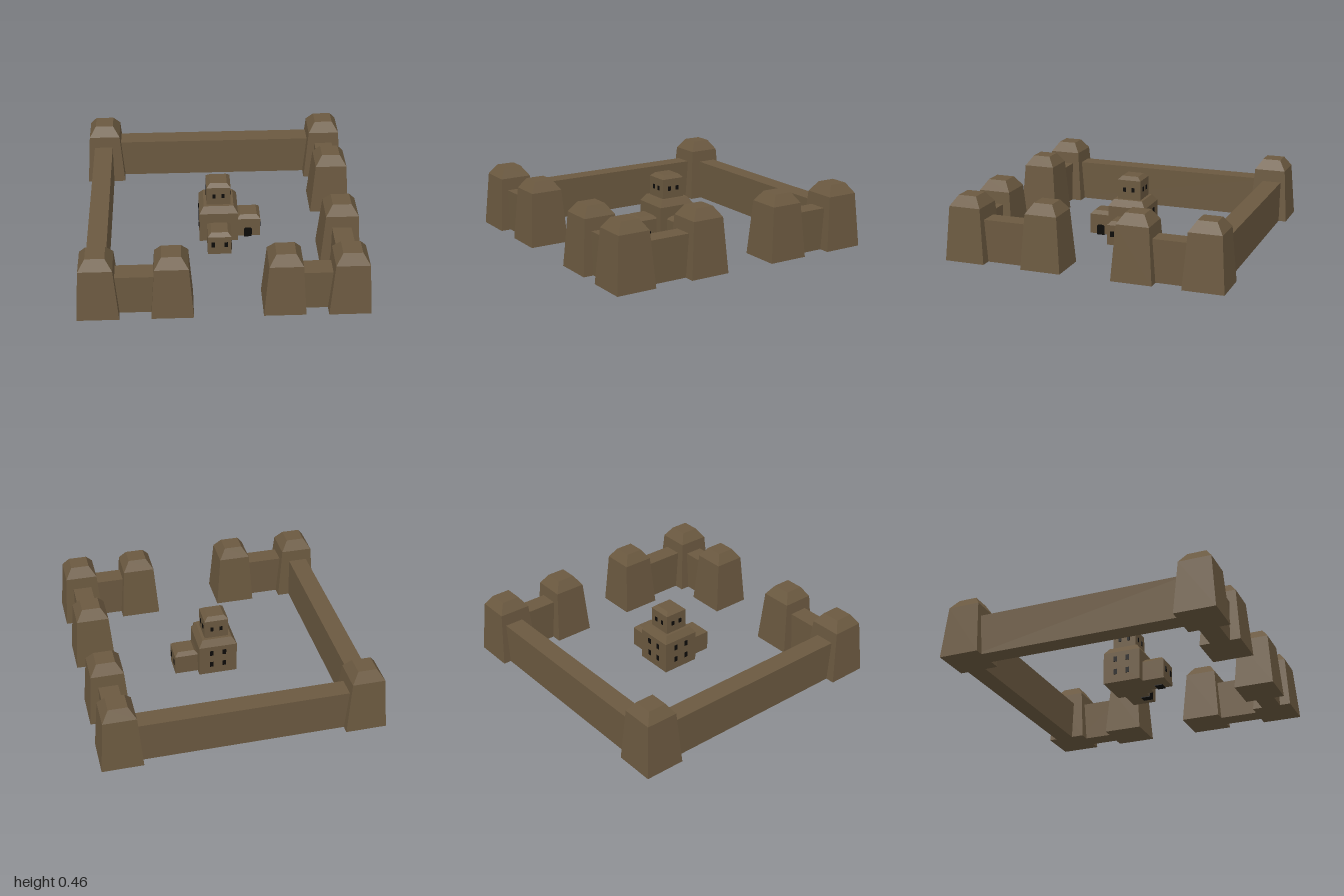
import * as THREE from 'three';

const mud = new THREE.MeshStandardMaterial({ color: 0x6b5940, flatShading: true });
const dark = new THREE.MeshStandardMaterial({ color: 0x0c0a08, flatShading: true });

function add(parent, name, geometry, material, x = 0, y = 0, z = 0) {
  const mesh = new THREE.Mesh(geometry, material);
  mesh.name = name;
  mesh.position.set(x, y, z);
  parent.add(mesh);
  return mesh;
}

// Closed square block from a profile of [half width, height], bottom to top
function squareStack(profile) {
  const pts = [[0, profile[0][1]], ...profile, [0, profile.at(-1)[1]]]
    .map(([h, y]) => new THREE.Vector2(h * Math.SQRT2, y));
  const g = new THREE.LatheGeometry(pts, 4, Math.PI / 4).toNonIndexed();
  g.computeVertexNormals();
  return g;
}

// Pair (or grid) of windows on one face of a square block; angle 0 faces +z
function windows(parent, cx, cz, half, angle, spread, rows, w, h) {
  const face = new THREE.Group();
  face.name = 'windows';
  face.position.set(cx, 0, cz);
  face.rotation.y = angle;
  for (const y of rows)
    for (const s of [-1, 1])
      add(face, 'window', new THREE.BoxGeometry(w, h, 0.02), dark, s * spread, y, half - 0.006);
  parent.add(face);
}

// Doorway with clipped upper corners; angle 0 faces +z
function door(parent, x, z, angle) {
  const s = new THREE.Shape();
  s.moveTo(-0.029, 0);
  s.lineTo(0.029, 0);
  s.lineTo(0.029, 0.066);
  s.lineTo(0.02, 0.076);
  s.lineTo(-0.02, 0.076);
  s.lineTo(-0.029, 0.066);
  const g = new THREE.ExtrudeGeometry(s, { depth: 0.07, bevelEnabled: false });
  g.translate(0, 0, -0.066);
  add(parent, 'door', g, dark, x, 0, z).rotation.y = angle;
}

export function createModel() {
  const model = new THREE.Group();
  model.name = 'mudBrickFort';

  // Tapered wall towers
  const towerGeo = squareStack([[0.144, 0], [0.115, 0.385], [0.066, 0.457]]);
  const towers = [
    [-0.853, -0.855], [0.852, -0.855], [0.852, -0.365], [0.852, 0.285],
    [0.852, 0.85], [0.41, 0.845], [-0.35, 0.845], [-0.853, 0.845],
  ];
  for (const [x, z] of towers) add(model, 'tower', towerGeo, mud, x, 0, z);

  // Curtain walls: x range, z range
  const walls = [
    [-0.8, 0.8, -0.943, -0.805],
    [-0.933, -0.795, -0.8, 0.8],
    [0.783, 0.92, -0.8, -0.42],
    [0.783, 0.92, 0.34, 0.8],
    [-0.8, -0.4, 0.776, 0.915],
    [0.46, 0.8, 0.776, 0.915],
  ];
  for (const [x0, x1, z0, z1] of walls)
    add(model, 'wall', new THREE.BoxGeometry(x1 - x0, 0.298, z1 - z0), mud,
      (x0 + x1) / 2, 0.149, (z0 + z1) / 2);

  // Central keep with a main block, a turret and two porches
  const keep = new THREE.Group();
  keep.name = 'keep';
  model.add(keep);
  const cx = -0.003, cz = -0.014;
  add(keep, 'mainBlock',
    squareStack([[0.14, 0.006], [0.14, 0.243], [0.108, 0.291]]), mud, cx, 0, cz);
  add(keep, 'turret',
    squareStack([[0.087, 0.28], [0.087, 0.433], [0.06, 0.459]]), mud, cx, 0, cz);
  const porchGeo = squareStack([[0.086, 0.006], [0.086, 0.153], [0.06, 0.179]]);
  add(keep, 'frontPorch', porchGeo, mud, cx, 0, 0.204);
  add(keep, 'sidePorch', porchGeo, mud, 0.218, 0, cz);

  // Openings
  for (let i = 0; i < 4; i++)
    windows(keep, cx, cz, 0.087, i * Math.PI / 2, 0.033, [0.363], 0.022, 0.032);
  for (const angle of [Math.PI, -Math.PI / 2])
    windows(keep, cx, cz, 0.14, angle, 0.047, [0.087, 0.187], 0.026, 0.04);
  windows(keep, cx, 0.204, 0.086, 0, 0.047, [0.088], 0.026, 0.04);
  windows(keep, 0.218, cz, 0.086, Math.PI / 2, 0.047, [0.088], 0.026, 0.04);
  door(keep, 0.214, cz + 0.086, 0);
  door(keep, cx + 0.086, 0.208, Math.PI / 2);

  return model;
}
